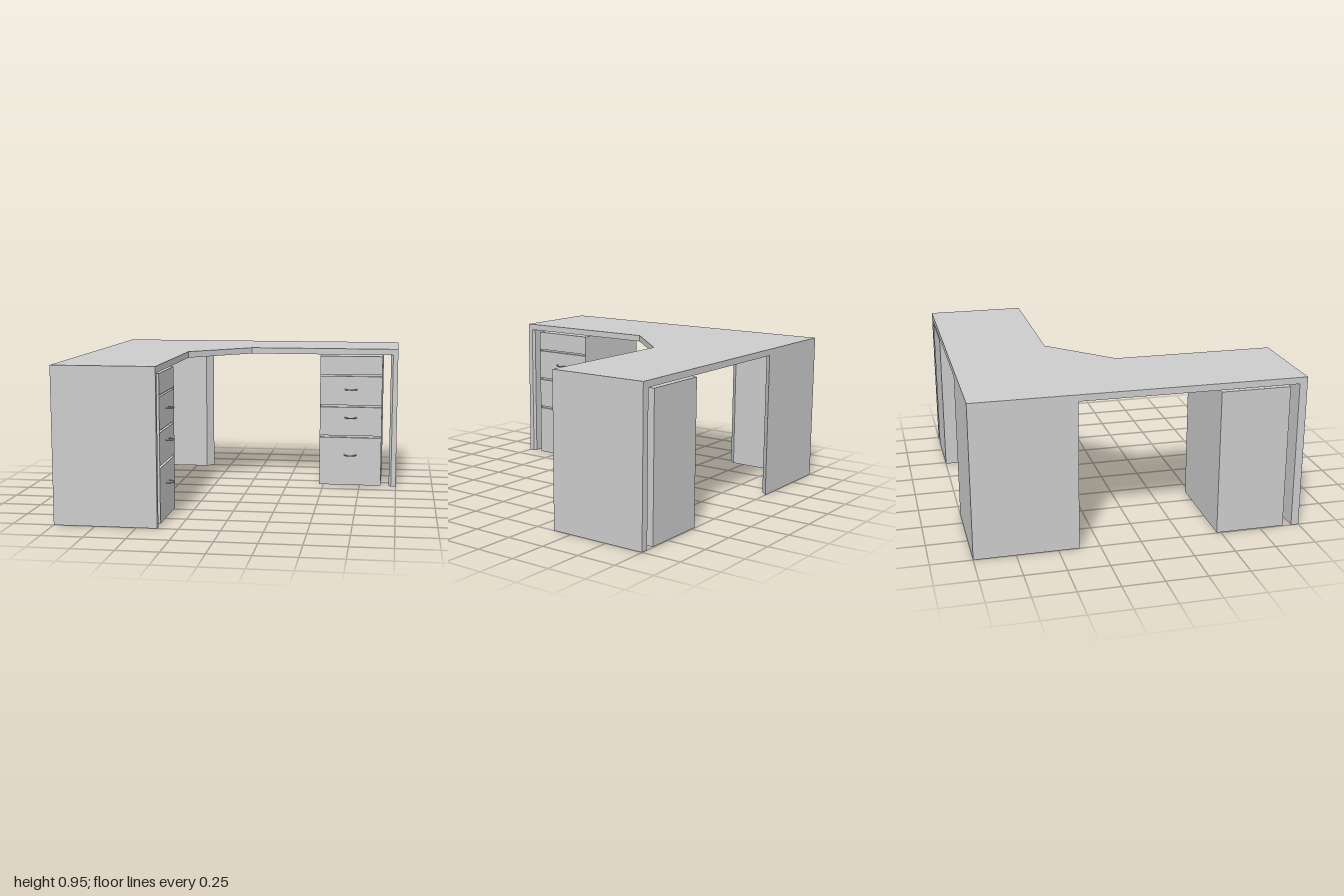
import * as THREE from 'three';

const material = new THREE.MeshStandardMaterial({ color: 0xcccccc });

const TOP = 0.95;      // worktop height
const UNDER = 0.91;    // underside of worktop
const EDGE = -0.375;   // inner edge of both arms
const T = 0.048;       // panel thickness

function addMesh(parent, geometry, name) {
  const mesh = new THREE.Mesh(geometry, material);
  mesh.name = name;
  parent.add(mesh);
  return mesh;
}

// Plan outline given as [x, z] corners, raised from y0 to y1
function plank(parent, name, corners, y0, y1) {
  const shape = new THREE.Shape(corners.map(([x, z]) => new THREE.Vector2(x, -z)));
  const geometry = new THREE.ExtrudeGeometry(shape, { depth: y1 - y0, bevelEnabled: false });
  geometry.rotateX(-Math.PI / 2).translate(0, y0, 0);
  return addMesh(parent, geometry, name);
}

function box(parent, name, w, y0, y1, z0, z1) {
  const geometry = new THREE.BoxGeometry(w, y1 - y0, z1 - z0);
  geometry.translate(0, (y0 + y1) / 2, (z0 + z1) / 2);
  return addMesh(parent, geometry, name);
}

// Drawer cabinet with its back at z = 0 and its drawers facing +z
function createCabinet(name) {
  const cabinet = new THREE.Group();
  cabinet.name = name;
  const width = 0.424, front = 0.622, recess = 0.605;
  box(cabinet, 'carcass', width - 0.004, 0.003, 0.898, 0, recess);
  box(cabinet, 'leftSide', 0.004, 0.003, 0.898, 0, front).position.x = width / 2 - 0.002;
  box(cabinet, 'rightSide', 0.004, 0.003, 0.898, 0, front).position.x = -width / 2 + 0.002;

  // Fronts separated by narrow grooves
  const fronts = [[0.003, 0.335], [0.349, 0.547], [0.561, 0.76], [0.772, 0.898]];
  for (const [y0, y1] of fronts) {
    box(cabinet, 'drawerFront', width - 0.008, y0, y1, recess, front);
  }

  // Half-ring pulls
  for (const y of [0.215, 0.476, 0.671]) {
    const pull = new THREE.TorusGeometry(0.04, 0.004, 8, 24, Math.PI);
    pull.rotateX(Math.PI / 2).translate(0, y, front + 0.003);
    addMesh(cabinet, pull, 'drawerPull');
  }
  return cabinet;
}

export function createModel() {
  const desk = new THREE.Group();
  desk.name = 'cornerDesk';

  // L-shaped worktop with a diagonal inner corner
  plank(desk, 'worktop', [
    [-1, -1], [1, -1], [1, EDGE], [0, EDGE], [EDGE, 0], [EDGE, 1], [-1, 1],
  ], UNDER, TOP);

  // Corner support: two walls with mitred free ends
  const inner = -1 + T;
  plank(desk, 'cornerSupport', [
    [-1, -1], [EDGE, -1], [EDGE - T, inner], [inner, inner], [inner, EDGE - T], [-1, EDGE],
  ], 0, UNDER);

  // End panels, slightly chamfered on the inner front edge
  const c = 0.015;
  const endOutline = [[1, -1], [1, EDGE], [1 - T + c, EDGE], [1 - T, EDGE - c], [1 - T, -1]];
  plank(desk, 'leftEndPanel', endOutline, 0, UNDER);
  plank(desk, 'frontEndPanel', endOutline.map(([x, z]) => [z, x]), 0, UNDER);

  // One cabinet under each arm
  const leftCabinet = createCabinet('leftCabinet');
  leftCabinet.position.set(0.684, 0, -1);
  const frontCabinet = createCabinet('frontCabinet');
  frontCabinet.position.set(-1, 0, 0.684);
  frontCabinet.rotation.y = Math.PI / 2;
  desk.add(leftCabinet, frontCabinet);

  return desk;
}
